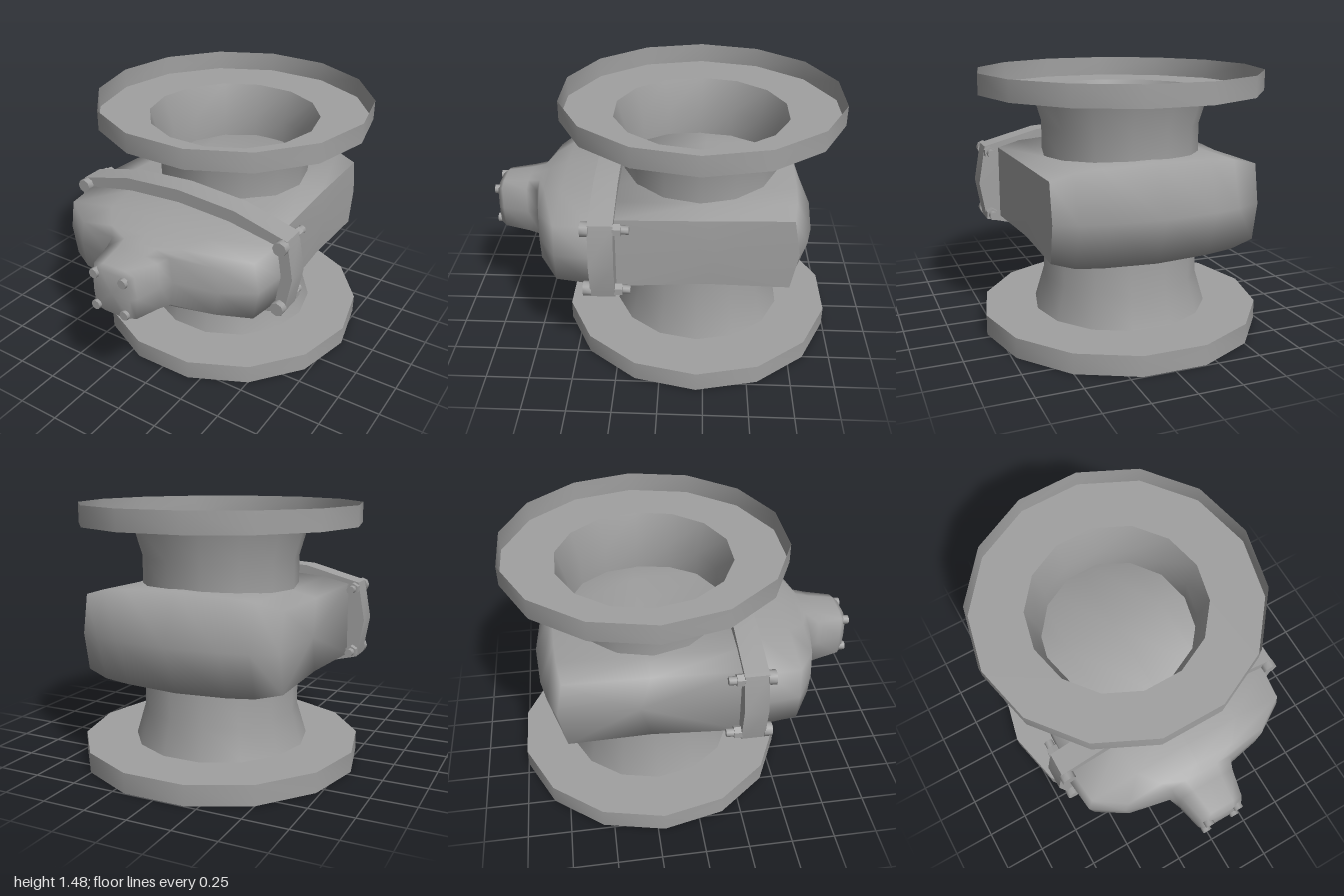
import * as THREE from 'three';
import { toCreasedNormals } from 'three/addons/utils/BufferGeometryUtils.js';

const MID = 0.775;      // height of the body's centre line
const PIPE_Z = -0.21;   // the pipe axis sits behind the centre
const HEIGHT = 1.48;
const iron = new THREE.MeshStandardMaterial({ color: 0xa0a0a0 });
const ironOpen = new THREE.MeshStandardMaterial({ color: 0xa0a0a0, side: THREE.DoubleSide });

function add(parent, name, geometry, material = iron) {
  const mesh = new THREE.Mesh(geometry, material);
  mesh.name = name;
  parent.add(mesh);
  return mesh;
}

// Skin over equal-length loops; each end cap is 'sharp', 'smooth' or left open
function loft(loops, startCap, endCap) {
  const n = loops[0].length;
  const pos = loops.flat(2);
  const index = [];
  for (let s = 0; s < loops.length - 1; s++) {
    for (let i = 0; i < n; i++) {
      const j = (i + 1) % n, a = s * n, b = a + n;
      index.push(a + i, a + j, b + j, a + i, b + j, b + i);
    }
  }
  const cap = (s, kind, flip) => {
    if (!kind) return;
    const loop = loops[s];
    let base = s * n;
    if (kind === 'sharp') {
      base = pos.length / 3;
      pos.push(...loop.flat());
    }
    const c = pos.length / 3;
    for (let k = 0; k < 3; k++) pos.push(loop.reduce((sum, p) => sum + p[k], 0) / n);
    for (let i = 0; i < n; i++) {
      const j = (i + 1) % n;
      index.push(c, base + (flip ? j : i), base + (flip ? i : j));
    }
  };
  cap(0, startCap, true);
  cap(loops.length - 1, endCap, false);
  const g = new THREE.BufferGeometry();
  g.setAttribute('position', new THREE.Float32BufferAttribute(pos, 3));
  g.setIndex(index);
  g.computeVertexNormals();
  return g;
}

// Twelve-point barrel outline, counterclockwise from +x, from one quarter
function outline(quarter) {
  const [side, shoulder, crown, top] = quarter;
  const flip = ([x, y], sx, sy) => [x * sx, y * sy];
  return [side, shoulder, crown, top, flip(crown, -1, 1), flip(shoulder, -1, 1),
    flip(side, -1, 1), flip(shoulder, -1, -1), flip(crown, -1, -1),
    flip(top, 1, -1), flip(crown, 1, -1), flip(shoulder, 1, -1)];
}

function lathe(points) {
  const g = new THREE.LatheGeometry(points.map(p => new THREE.Vector2(...p)), 14, Math.PI / 2);
  return toCreasedNormals(g, 0.6);
}

// Fourteen-sided flange, hollow on its outer face, with its flared pipe
function pipeEnd(name, length) {
  const end = new THREE.Group();
  end.name = name;
  add(end, 'pipeFlange', lathe([[0.807, 0], [0.807, 0.115], [0.505, 0.115]]), ironOpen);
  add(end, 'flaredPipe', lathe([[0.505, 0.115], [0.45, 0.3], [0.45, length]]), ironOpen);
  end.position.z = PIPE_Z;
  return end;
}

// Cylinder running along z between two depths
function rod(parent, name, x, y, z0, z1, r, sides) {
  const g = new THREE.CylinderGeometry(r, r, z1 - z0, sides).rotateX(Math.PI / 2);
  add(parent, name, toCreasedNormals(g, 0.9)).position.set(x, y, (z0 + z1) / 2);
}

export function createModel() {
  const model = new THREE.Group();
  model.name = 'gateValve';

  // Lower and upper pipe ends
  const lower = pipeEnd('lowerPipeEnd', 0.56);
  const upper = pipeEnd('upperPipeEnd', 0.49);
  upper.rotation.x = Math.PI;
  upper.position.y = HEIGHT;
  model.add(lower, upper);

  // Body: side-on loops stepped across x, with a ridge along the back
  const stations = [ // x, half height, waist dip, back edge z, ridge z
    [-0.595, 0.215, 0.01, -0.715, -0.755],
    [-0.45, 0.25, 0.012, -0.735, -0.81],
    [-0.3, 0.262, 0.02, -0.745, -0.845],
    [0, 0.273, 0.028, -0.75, -0.87],
    [0.3, 0.262, 0.02, -0.745, -0.845],
    [0.45, 0.25, 0.012, -0.735, -0.81],
    [0.575, 0.213, 0.01, -0.715, -0.755],
  ];
  const bodyLoop = ([x, h, dip, back, ridge]) => [
    [x, 0, ridge], [x, h, back], [x, h - dip, -0.25], [x * 1.05, h, 0.26],
    [x * 1.05, -h, 0.26], [x, -h + dip, -0.25], [x, -h, back],
  ].map(([px, y, z]) => [px, MID + y, z]);
  add(model, 'body', loft(stations.map(bodyLoop), 'smooth', 'sharp'));

  // Bonnet flange plate
  const plate = new THREE.Shape(
    outline([[0.725, 0], [0.685, 0.225], [0.36, 0.31], [0, 0.335]])
      .map(p => new THREE.Vector2(...p)));
  const plateGeo = new THREE.ExtrudeGeometry(plate, { depth: 0.135, bevelEnabled: false });
  add(model, 'bonnetFlange', toCreasedNormals(plateGeo, 0.6)).position.set(0, MID, 0.24);

  // Bonnet: wide dome narrowing into a rounded square neck
  const unit = outline([[1, 0], [0.955, 0.7], [0.5, 0.92], [0, 1]]);
  const neckUnit = outline([[1, 0], [0.92, 0.88], [0.5, 1], [0, 1]]);
  const sections = [ // z, half width, half height, blend to neck shape
    [0.37, 0.658, 0.26, 0], [0.57, 0.635, 0.245, 0], [0.68, 0.46, 0.2, 0.15],
    [0.73, 0.205, 0.174, 0.8], [0.8, 0.178, 0.16, 1],
    [0.95, 0.142, 0.146, 1], [0.98, 0.12, 0.125, 1],
  ];
  add(model, 'bonnet', loft(sections.map(([z, w, h, t]) =>
    unit.map(([x, y], i) => [
      w * THREE.MathUtils.lerp(x, neckUnit[i][0], t),
      MID + h * THREE.MathUtils.lerp(y, neckUnit[i][1], t), z,
    ])), null, 'smooth'));

  // Flange bolts with nuts behind, and small screws on the neck
  for (const sx of [-1, 1]) {
    for (const sy of [-1, 1]) {
      const bolt = new THREE.Group();
      bolt.name = 'flangeBolt';
      const x = sx * 0.66, y = MID + sy * 0.19;
      rod(bolt, 'boltHead', x, y, 0.37, 0.415, 0.041, 8);
      rod(bolt, 'nut', x, y, 0.2, 0.245, 0.036, 6);
      rod(bolt, 'boltTip', x, y, 0.157, 0.205, 0.024, 8);
      model.add(bolt);
      rod(model, 'neckScrew', sx * 0.093 - 0.007, MID + sy * 0.098, 0.965, 1, 0.027, 8);
    }
  }
  return model;
}
